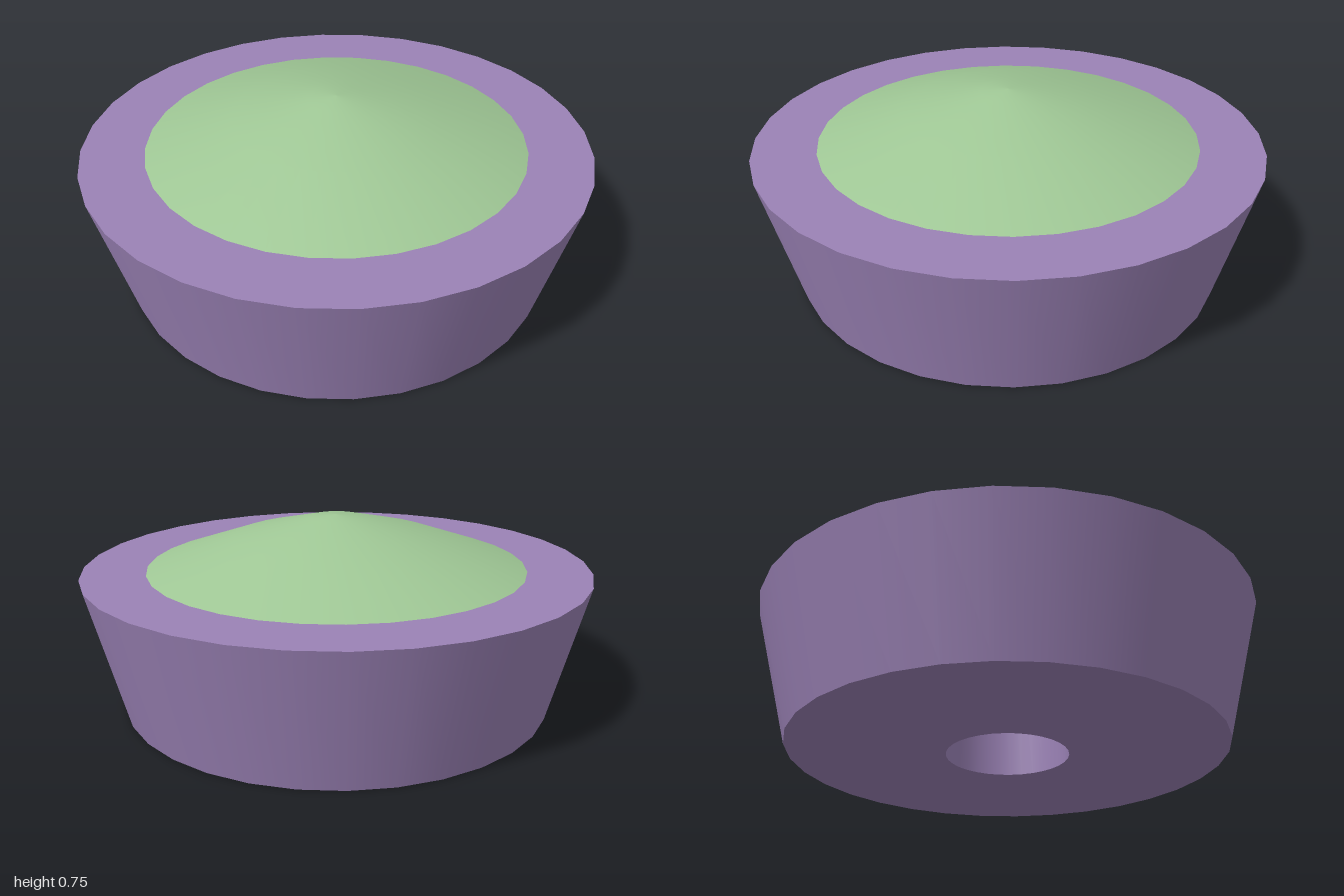
import * as THREE from 'three';
import { mergeGeometries } from 'three/addons/utils/BufferGeometryUtils.js';

const SIDES = 32;
const RIM_Y = 0.545;

// Smooth surface of revolution through [radius, height] points
const lathe = (points) =>
  new THREE.LatheGeometry(points.map(([r, y]) => new THREE.Vector2(r, y)), SIDES);

// Each profile segment is its own surface, so the edges between them stay sharp
const sharpLathe = (points) =>
  mergeGeometries(points.slice(1).map((p, i) => lathe([points[i], p])));

export function createModel() {
  const purple = new THREE.MeshStandardMaterial({ color: 0x9b82b6 });
  purple.name = 'purple';
  const green = new THREE.MeshStandardMaterial({ color: 0x9fc795 });
  green.name = 'green';

  const model = new THREE.Group();
  model.name = 'domedTaperedBase';
  const add = (name, geometry, material) => {
    const mesh = new THREE.Mesh(geometry, material);
    mesh.name = name;
    model.add(mesh);
  };

  // Tapered body: underside, outer wall, flat rim and central bore
  add('taperedBody', sharpLathe([
    [0.24, 0], [0.855, 0], [1, RIM_Y], [0.24, RIM_Y], [0.24, 0],
  ]), purple);

  // Shallow dome rising from the rim
  add('dome', lathe([
    [0.75, RIM_Y], [0.41, 0.663], [0.11, 0.738], [0, 0.749],
  ]), green);

  // Underside of the dome, closing the bore
  add('domeUnderside', lathe([[0, RIM_Y - 0.002], [0.24, RIM_Y - 0.002]]), green);

  return model;
}
